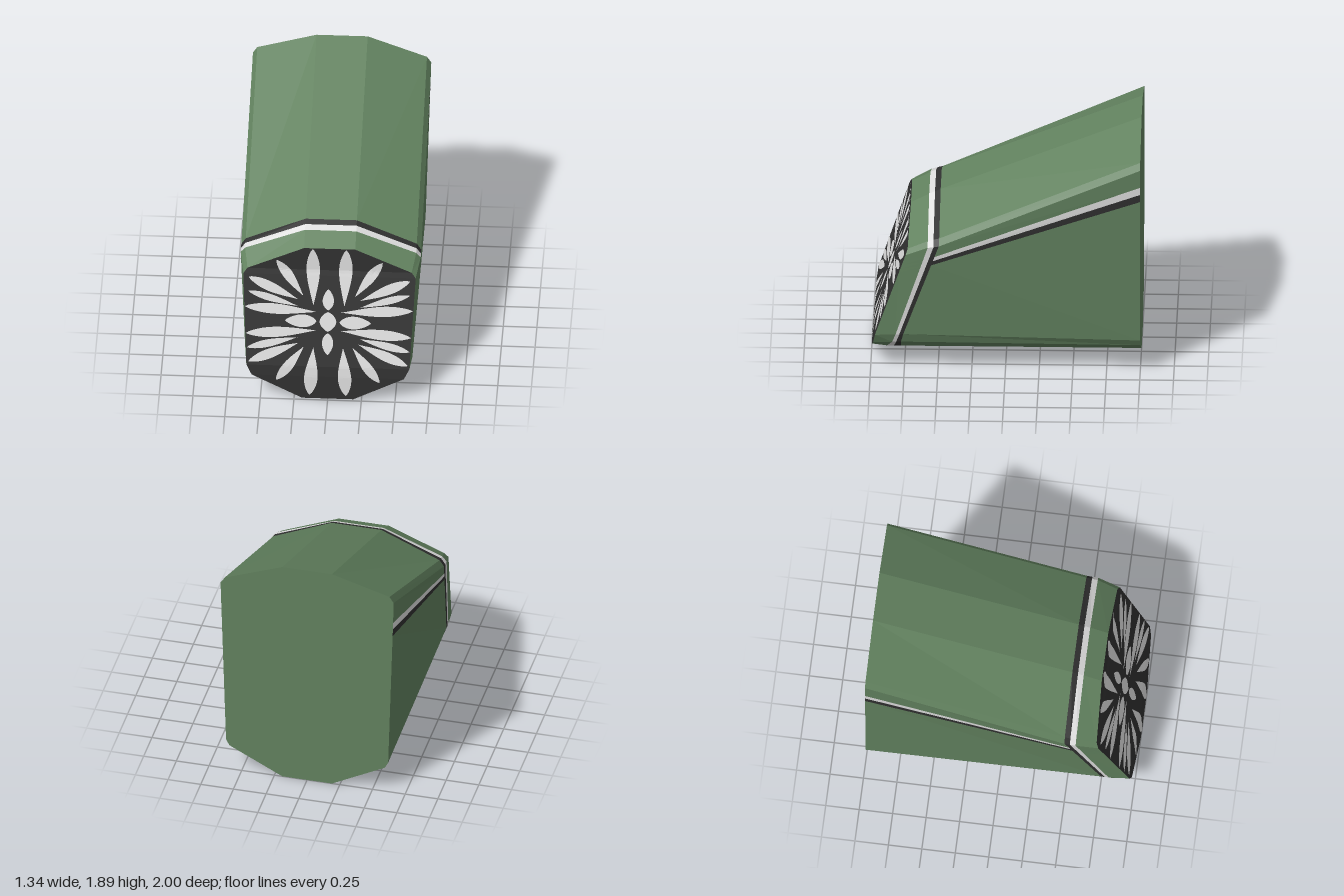
import * as THREE from 'three';

const green = new THREE.MeshStandardMaterial({ color: 0x62825f });
green.name = 'green shell';
const dark = new THREE.MeshStandardMaterial({ color: 0x303030 });
dark.name = 'charcoal';
const light = new THREE.MeshStandardMaterial({ color: 0xdedede });
light.name = 'pale grey';

// Half outlines from top centre round the +x side to the bottom: [x, y, z]
const faceHalf = [[0.19, 1.175, 0.71], [0.61, 0.99, 0.725], [0.64, 0.95, 0.74], [0.605, 0.28, 0.968], [0.565, 0.2, 0.982], [0.19, 0.015, 1]];
const bandFront = [[0.19, 1.245, 0.575], [0.635, 1.065, 0.575], [0.668, 1.025, 0.575], [0.62, 0.29, 0.815], [0.595, 0.22, 0.84], [0.19, 0, 0.888]];
const bandMiddle = [[0.19, 1.266, 0.532], [0.635, 1.077, 0.532], [0.668, 1.03, 0.532], [0.62, 0.292, 0.787], [0.595, 0.22, 0.81], [0.19, 0, 0.837]];
const bandBack = [[0.19, 1.285, 0.49], [0.635, 1.088, 0.49], [0.668, 1.037, 0.493], [0.62, 0.295, 0.757], [0.595, 0.222, 0.775], [0.19, 0, 0.785]];
const rear = [[0.19, 1.89, -1], [0.63, 1.72, -1], [0.662, 1.67, -1], [0.62, 0.262, -1], [0.595, 0.212, -1], [0.19, 0, -1]];

const lerp = (a, b, t) => a.map((v, i) => v + (b[i] - v) * t);

// Full ring: stripe points are inserted in the side, then the half is mirrored
function ring(half, cuts, lift = 0) {
  const right = [...half.slice(0, 3), ...cuts.map(t => lerp(half[2], half[3], t)), ...half.slice(3)];
  const left = right.map(([x, y, z], i) => [-x, y + (i === 1 || i === 2 ? lift : 0), z]);
  return [...right, ...left.reverse()];
}

// Flat-shaded mesh from a list of quads
function quadMesh(name, quads, material) {
  const pos = [];
  for (const [a, b, c, d] of quads) pos.push(...a, ...b, ...c, ...a, ...c, ...d);
  const geo = new THREE.BufferGeometry();
  geo.setAttribute('position', new THREE.Float32BufferAttribute(pos, 3));
  geo.computeVertexNormals();
  const mesh = new THREE.Mesh(geo, material);
  mesh.name = name;
  return mesh;
}

// Quads between two rings, front ring first
const loft = (p, q) => p.map((a, i) => {
  const j = (i + 1) % p.length;
  return [a, p[j], q[j], q[i]];
});

// Quads across a symmetrical ring
function cap(r, flip) {
  const n = r.length, quads = [];
  for (let i = 0; i < n / 2 - 1; i++) {
    const q = [r[n - 1 - i], r[n - 2 - i], r[i + 1], r[i]];
    quads.push(flip ? q.reverse() : q);
  }
  return quads;
}

// Depth of the front panel at a given height
function faceZ(y) {
  let i = 0;
  while (i < 4 && y < faceHalf[i + 1][1]) i++;
  const [, y0, z0] = faceHalf[i], [, y1, z1] = faceHalf[i + 1];
  return z0 + (z1 - z0) * (y - y0) / (y1 - y0);
}

// Petal lying on the panel, from base to tip, widest past the middle
function petal(x0, y0, x1, y1, w, bias = 1.4) {
  const n = 20, len = Math.hypot(x1 - x0, y1 - y0);
  const nx = -(y1 - y0) / len, ny = (x1 - x0) / len;
  const at = (t, s) => {
    const h = s * w * Math.pow(Math.max(0, Math.sin(Math.PI * Math.pow(t, bias))), 0.75);
    const x = x0 + (x1 - x0) * t + nx * h, y = y0 + (y1 - y0) * t + ny * h;
    return [x, y, faceZ(y) + 0.006];
  };
  const quads = [];
  for (let i = 0; i < n; i++) {
    const a = i / n, b = (i + 1) / n;
    quads.push([at(a, 0), at(b, 0), at(b, 1), at(a, 1)], [at(a, -1), at(b, -1), at(b, 0), at(a, 0)]);
  }
  return quads;
}

export function createModel() {
  const group = new THREE.Group();
  group.name = 'taperedHousing';

  // Front panel, bevel and the two bands around the nose
  const frontCuts = [0.12, 0.168, 0.215], rearCuts = [0.1, 0.142, 0.184];
  const [r0, r1, r2, r3] = [faceHalf, bandFront, bandMiddle, bandBack].map(h => ring(h, frontCuts));
  const r4 = ring(rear, rearCuts, 0.04);
  group.add(
    quadMesh('frontPanel', cap(r0), dark),
    quadMesh('frontBevel', loft(r0, r1), green),
    quadMesh('paleBand', loft(r1, r2), light),
    quadMesh('darkBand', loft(r2, r3), dark),
    quadMesh('backPanel', cap(r4, true), green)
  );

  // Main body, with the pale and dark stripes along both sides
  const sides = loft(r3, r4), n = sides.length;
  const isPale = i => i === 3 || i === n - 5;
  const isDark = i => i === 4 || i === n - 6;
  group.add(
    quadMesh('body', sides.filter((q, i) => !isPale(i) && !isDark(i)), green),
    quadMesh('paleSideStripes', sides.filter((q, i) => isPale(i)), light),
    quadMesh('darkSideStripes', sides.filter((q, i) => isDark(i)), dark)
  );

  // Flower pattern: centre and four small petals
  const flower = new THREE.Group();
  flower.name = 'flowerPattern';
  flower.add(
    quadMesh('flowerCentre', petal(-0.005, 0.542, -0.005, 0.688, 0.062, 1), light),
    quadMesh('upperSmallPetal', petal(-0.005, 0.7, -0.005, 0.855, 0.042, 0.85), light),
    quadMesh('lowerSmallPetal', petal(-0.005, 0.53, -0.005, 0.37, 0.042, 0.85), light),
    quadMesh('rightSmallPetal', petal(-0.09, 0.617, -0.325, 0.617, 0.047, 0.85), light),
    quadMesh('leftSmallPetal', petal(0.08, 0.612, 0.315, 0.612, 0.047, 0.85), light)
  );

  // Large petals, mirrored: base x, y, tip x, y, half width
  const petals = [
    [0.115, 0.73, 0.125, 1.173, 0.05], [0.19, 0.8, 0.395, 1.07, 0.037],
    [0.23, 0.775, 0.6, 0.93, 0.036], [0.23, 0.725, 0.6, 0.825, 0.026],
    [0.09, 0.685, 0.625, 0.712, 0.038], [0.09, 0.55, 0.615, 0.515, 0.038],
    [0.23, 0.495, 0.605, 0.41, 0.028], [0.22, 0.455, 0.592, 0.308, 0.036],
    [0.18, 0.43, 0.385, 0.165, 0.037], [0.11, 0.425, 0.135, 0.045, 0.05]
  ];
  for (const s of [1, -1]) {
    for (const [x0, y0, x1, y1, w] of petals) {
      flower.add(quadMesh(s > 0 ? 'leftPetal' : 'rightPetal', petal(s * x0, y0, s * x1, y1, w), light));
    }
  }
  group.add(flower);
  return group;
}
